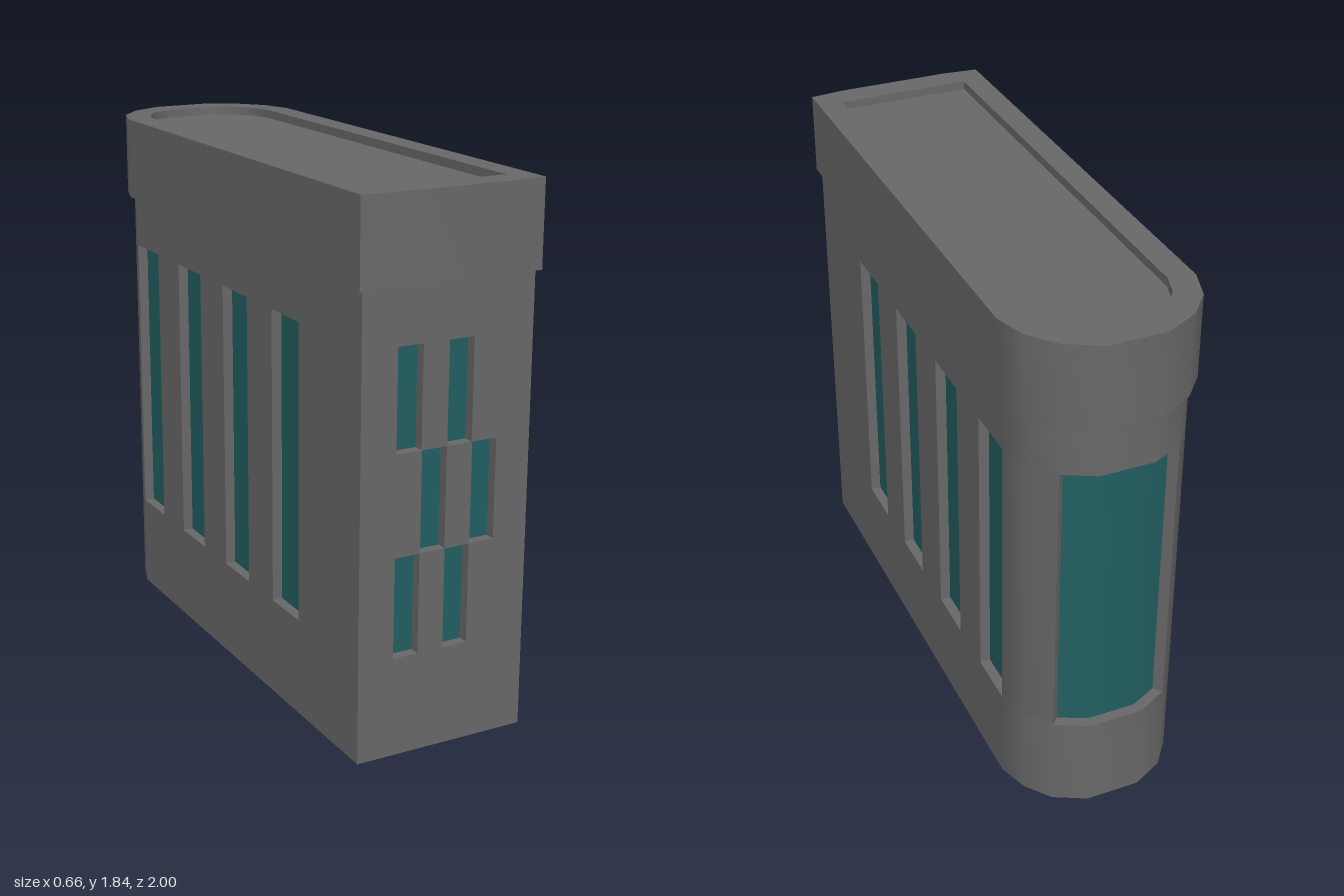
import * as THREE from 'three';
import { toCreasedNormals } from 'three/addons/utils/BufferGeometryUtils.js';

const grey = new THREE.MeshStandardMaterial({ color: 0x686868 });
const glass = new THREE.MeshStandardMaterial({ color: 0x215e60 });

const WIN_LOW = 0.34, WIN_HIGH = 1.365, WALL_TOP = 1.55, TOP = 1.84;
const OUT = 0.308, IN = 0.272, FRONT = 0.975, THICK = OUT - IN, PANE = 0.008;

// Right half of the rounded rear end, as [x, z] from the side to the middle
const REAR_OUT = [[OUT, -0.73], [0.272, -0.835], [0.205, -0.92], [0.095, -0.975]];
const REAR_IN = [[IN, -0.73], [0.242, -0.815], [0.18, -0.893], [0.085, -0.938]];
const REAR_PANE_IN = [[0.176, -0.886], [0.083, -0.93]];

const mirrored = (pts) => pts.map(([x, z]) => [-x, z]).reverse();
const fullArc = (half) => [...half, ...mirrored(half)];
const path = (pts, P = THREE.Shape) => new P(pts.map(([a, b]) => new THREE.Vector2(a, b)));
const rect = (a0, a1, b0, b1) => [[a0, b0], [a1, b0], [a1, b1], [a0, b1]];

// Keep the straight sides flat, so that only the rounded end shades smoothly
function flattenSideNormals(geometry) {
  const { position, normal } = geometry.attributes;
  for (let i = 0; i < position.count; i++) {
    const nx = normal.getX(i);
    if (Math.abs(nx) > 0.8 && position.getZ(i) > -0.74) normal.setXYZ(i, Math.sign(nx), 0, 0);
  }
}

export function createModel() {
  const model = new THREE.Group();

  const add = (name, geometry, material = grey) => {
    const mesh = new THREE.Mesh(toCreasedNormals(geometry, 0.6), material);
    mesh.name = name;
    model.add(mesh);
    return mesh;
  };

  // Extrude a plan outline of [x, z] points from height y0 to y1
  const addPlan = (name, pts, y0, y1, material, hole) => {
    const flip = (list) => list.map(([x, z]) => [x, -z]);
    const shape = path(flip(pts));
    if (hole) shape.holes.push(path(flip(hole), THREE.Path));
    const g = new THREE.ExtrudeGeometry(shape, { depth: y1 - y0, bevelEnabled: false });
    g.rotateX(-Math.PI / 2).translate(0, y0, 0);
    flattenSideNormals(add(name, g, material).geometry);
  };

  // Upright wall with rectangular openings, drawn in (across, up)
  const wallGeometry = (outline, openings) => {
    const shape = path(outline);
    openings.forEach((o) => shape.holes.push(path(rect(...o), THREE.Path)));
    return new THREE.ExtrudeGeometry(shape, { depth: THICK, bevelEnabled: false });
  };

  const addPane = (name, x0, x1, y0, y1, z0, z1) => {
    const g = new THREE.BoxGeometry(x1 - x0, y1 - y0, z1 - z0);
    g.translate((x0 + x1) / 2, (y0 + y1) / 2, (z0 + z1) / 2);
    add(name, g, glass);
  };

  // Side walls, each with four tall windows
  const sideWindows = [0.385, 0.015, -0.355, -0.725].map((z) => [z, z + 0.187]);
  for (const side of [1, -1]) {
    const label = side > 0 ? 'left' : 'right';
    const openings = sideWindows.map(([z0, z1]) => [-z1, -z0, WIN_LOW, WIN_HIGH]);
    const g = wallGeometry(rect(-FRONT, 0.73, 0, WALL_TOP), openings);
    g.rotateY(Math.PI / 2).translate(side > 0 ? IN : -OUT, 0, 0);
    add(label + 'Wall', g);
    for (const [z0, z1] of sideWindows) {
      const x0 = side > 0 ? IN - PANE : -IN;
      addPane(label + 'WindowPane', x0, x0 + PANE, WIN_LOW, WIN_HIGH, z0, z1);
    }
  }

  // Front wall with a staggered set of small windows
  const frontWindows = [];
  const rows = [WIN_LOW, 0.682, 1.023, WIN_HIGH];
  for (let r = 0; r < 3; r++) {
    for (const x of r === 1 ? [-0.09, 0.093] : [-0.182, 0.001]) {
      frontWindows.push([x + 0.0005, x + 0.0905, rows[r] + 0.0005, rows[r + 1] - 0.0005]);
    }
  }
  const frontGeometry = wallGeometry(rect(-IN, IN, 0, WALL_TOP), frontWindows);
  add('frontWall', frontGeometry.translate(0, 0, FRONT - THICK));
  for (const [x0, x1, y0, y1] of frontWindows) {
    addPane('frontWindowPane', x0, x1, y0, y1, FRONT - THICK - PANE, FRONT - THICK);
  }

  // Rounded rear wall: band below, band above, and jambs beside the window
  const rearRing = [...fullArc(REAR_OUT), ...fullArc(REAR_IN).reverse()];
  addPlan('rearLowerWall', rearRing, 0, WIN_LOW);
  addPlan('rearUpperWall', rearRing, WIN_HIGH, WALL_TOP);
  const jamb = [...REAR_OUT.slice(0, 3), ...REAR_IN.slice(0, 3).reverse()];
  addPlan('rearLeftJamb', jamb, WIN_LOW, WIN_HIGH);
  addPlan('rearRightJamb', mirrored(jamb), WIN_LOW, WIN_HIGH);
  const rearPane = [...fullArc(REAR_IN.slice(2)), ...fullArc(REAR_PANE_IN).reverse()];
  addPlan('rearWindowPane', rearPane, WIN_LOW, WIN_HIGH, glass);

  // Overhanging parapet with a slightly sunken roof inside it
  const parapet = fullArc([[0.2, 1], [0.324, 0.988], [0.33, -0.735], [0.293, -0.85], [0.215, -0.94], [0.1, -1]]);
  const roof = fullArc([[0.24, 0.9], [0.24, -0.72], [0.215, -0.8], [0.165, -0.865], [0.09, -0.903]]);
  addPlan('parapet', parapet, WALL_TOP, TOP, grey, roof);
  addPlan('roof', roof, WALL_TOP, TOP - 0.03);

  return model;
}
